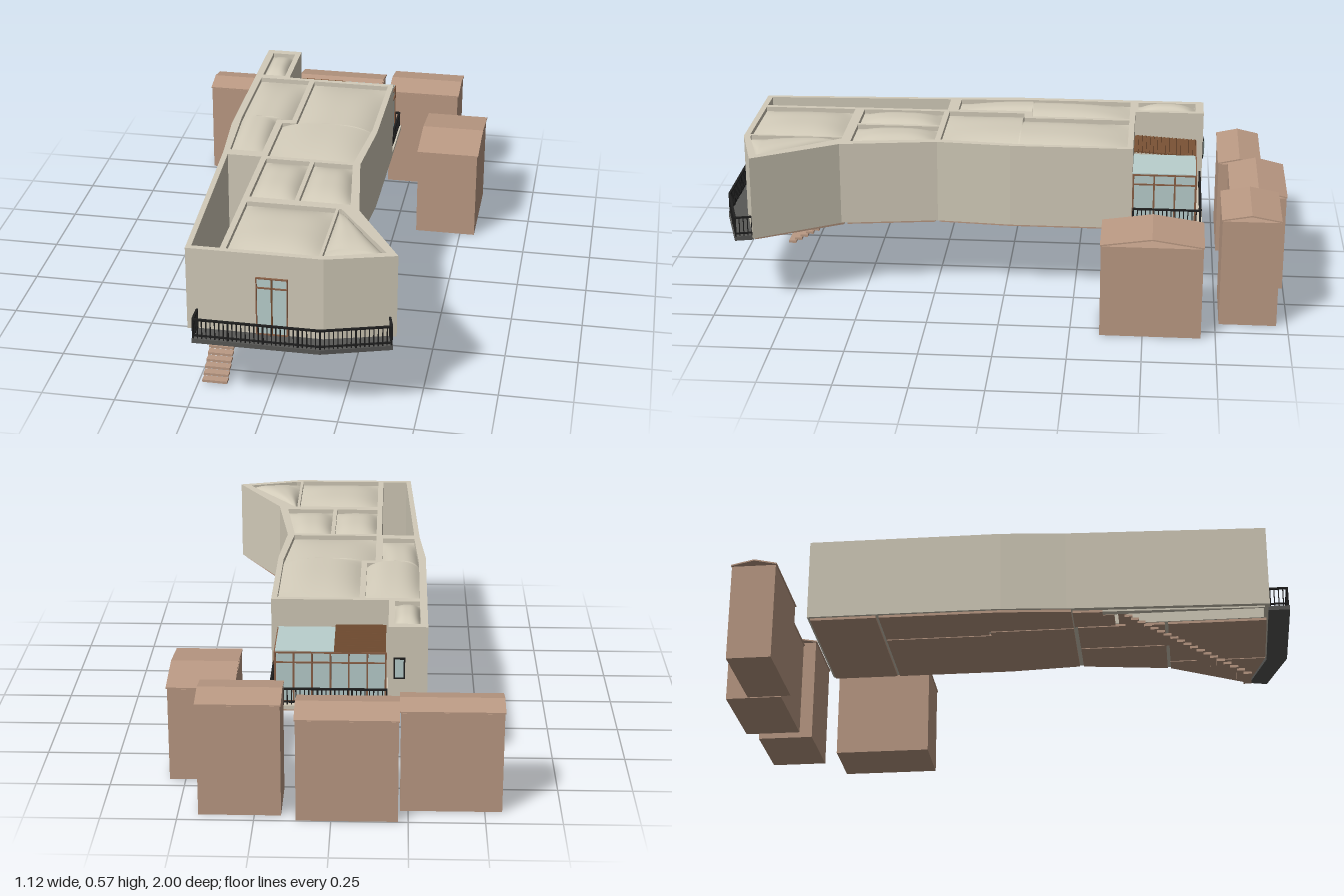
import * as THREE from 'three';
import { mergeGeometries } from 'three/addons/utils/BufferGeometryUtils.js';

const mat = (name, color, side = THREE.FrontSide) => {
  const m = new THREE.MeshStandardMaterial({ color, side });
  m.name = name;
  return m;
};

export function createModel() {
  const model = new THREE.Group();
  model.name = 'raisedHouse';
  const cream = mat('cream plaster', 0xd2cbb9);
  const clay = mat('clay brown', 0xbb9a84, THREE.DoubleSide);
  const glass = mat('pale glass', 0xb9cfcd);
  const wood = mat('dark wood', 0x775033);
  const frameMat = mat('window frame', 0x8a6046);
  const grey = mat('dark grey', 0x585856);
  const black = mat('black metal', 0x1e1e1e);

  const add = (name, geo, material, parent = model) => {
    const m = new THREE.Mesh(geo, material);
    m.name = name;
    parent.add(m);
    return m;
  };
  // box from its extents
  const box = (x0, x1, y0, y1, z0, z1) =>
    new THREE.BoxGeometry(x1 - x0, y1 - y0, z1 - z0)
      .translate((x0 + x1) / 2, (y0 + y1) / 2, (z0 + z1) / 2);
  // horizontal plate from an (x, z) outline
  const plate = (pts, y0, y1, holes = []) => {
    const v = (list) => list.map(([x, z]) => new THREE.Vector2(x, z));
    const shape = new THREE.Shape(v(pts));
    for (const h of holes) shape.holes.push(new THREE.Path(v(h)));
    return new THREE.ExtrudeGeometry(shape, { depth: y1 - y0, bevelEnabled: false })
      .rotateX(Math.PI / 2).translate(0, y1, 0);
  };

  // roof cushions, each as rows of [z, left x, right x]
  const cushions = [
    [[-0.67, -0.285, -0.2], [-0.46, -0.285, -0.2]],
    [[-0.43, -0.285, -0.1], [-0.075, -0.285, -0.1], [-0.07, -0.285, -0.155], [0.2, -0.27, -0.155]],
    [[-0.43, -0.08, 0.2], [-0.05, -0.08, 0.2], [-0.045, -0.13, 0.2], [0.23, -0.13, 0.175]],
    [[0.25, -0.13, 0.025], [0.545, -0.13, 0.025]],
    [[0.25, 0.04, 0.175], [0.545, 0.04, 0.215]],
    [[0.58, -0.13, 0.172], [0.91, -0.13, 0.172]],
    [[0.58, 0.182, 0.19], [0.85, 0.182, 0.38], [0.905, 0.182, 0.2]],
  ];
  const rowsToOutline = (rows) => [
    ...rows.map(([z, l]) => [l, z]),
    ...rows.slice().reverse().map(([z, , r]) => [r, z]),
  ];
  const cushionGeometry = (rows) => {
    const U = 18, V = 14, pos = [], idx = [];
    const z0 = rows[0][0], z1 = rows[rows.length - 1][0];
    const lines = [];
    rows.forEach((r, i) => {
      if (i === 0) return lines.push(r);
      for (let k = 1; k <= V; k++)
        lines.push(r.map((c, n) => THREE.MathUtils.lerp(rows[i - 1][n], c, k / V)));
    });
    const swell = (t) => 1 - Math.abs(2 * t - 1) ** 3;
    lines.forEach(([z, l, r], j) => {
      for (let i = 0; i <= U; i++) {
        const u = i / U;
        pos.push(l + (r - l) * u, 0.543 + 0.026 * swell(u) * swell((z - z0) / (z1 - z0)), z);
        if (i < U && j < lines.length - 1) {
          const a = j * (U + 1) + i, b = a + U + 1;
          idx.push(a, b, a + 1, a + 1, b, b + 1);
        }
      }
    });
    const g = new THREE.BufferGeometry();
    g.setAttribute('position', new THREE.Float32BufferAttribute(pos, 3));
    g.setIndex(idx);
    g.computeVertexNormals();
    return g;
  };

  // main body: walls and roof ribs, open at the cushions and the stairwell
  const right = [[0.22, -0.02], [0.2, 0.24], [0.25, 0.58], [0.42, 0.865]];
  const left = [[-0.26, 0.93], [-0.29, 0.22], [-0.31, -0.01]];
  const outline = [[-0.31, -0.7], [-0.18, -0.7], [-0.18, -0.45], [0.22, -0.45],
    ...right, [0.19, 0.93], ...left];
  const well = [[-0.27, 0.24], [-0.15, 0.24], [-0.15, 0.91], [-0.243, 0.91]];
  add('walls', plate(outline, 0.262, 0.56, [...cushions.map(rowsToOutline), well]), cream);
  cushions.forEach((rows, i) => add(`roofCushion${i + 1}`, cushionGeometry(rows), cream));

  // underside panels, separated by narrow seams
  const floors = [
    [[-0.3, -0.69], [0.21, -0.69], [0.21, -0.455], [-0.3, -0.455]],
    [[-0.3, -0.445], [-0.115, -0.445], [-0.115, -0.07], [-0.145, -0.07], [-0.145, 0.235], [-0.28, 0.235], [-0.3, -0.01]],
    [[-0.109, -0.445], [0.21, -0.445], [0.21, -0.02], [0.19, 0.235], [-0.139, 0.235], [-0.139, -0.064], [-0.109, -0.064]],
    [[-0.145, 0.25], [0.03, 0.25], [0.03, 0.56], [-0.145, 0.56]],
    [[0.036, 0.25], [0.192, 0.25], [0.237, 0.56], [0.036, 0.56]],
    [[-0.145, 0.572], [0.175, 0.572], [0.175, 0.92], [-0.145, 0.92]],
    [[0.181, 0.572], [0.24, 0.572], [0.405, 0.86], [0.181, 0.92]],
  ];
  floors.forEach((f, i) => add(`floorPanel${i + 1}`, plate(f, 0.253, 0.264), clay));

  // stairwell: landing, ledge and open treads
  add('landing', plate([[-0.268, 0.24], [-0.15, 0.24], [-0.15, 0.385], [-0.238, 0.385],
    [-0.238, 0.345], [-0.264, 0.345]], 0.254, 0.266), clay);
  add('stairwellLedge', plate([[-0.264, 0.345], [-0.238, 0.345], [-0.238, 0.912], [-0.244, 0.912]],
    0.256, 0.266), cream);
  const steps = 20;
  const treads = [];
  for (let i = 0; i < steps; i++) {
    const z = 0.84 - i * 0.0225, y = 0.008 + i * 0.0132;
    treads.push(box(-0.235, -0.15, y, y + 0.009, z - 0.014, z + 0.014));
  }
  add('stairTreads', mergeGeometries(treads), clay);

  // railing along a path of (x, z) points
  const railing = (name, path, y0, y1) => {
    const parts = [];
    for (let i = 1; i < path.length; i++) {
      const [ax, az] = path[i - 1], [bx, bz] = path[i];
      const len = Math.hypot(bx - ax, bz - az), yaw = -Math.atan2(bz - az, bx - ax);
      const place = (g, t, y) =>
        parts.push(g.rotateY(yaw).translate(ax + (bx - ax) * t, y, az + (bz - az) * t));
      place(new THREE.BoxGeometry(len, 0.006, 0.008), 0.5, y1 - 0.003);
      place(new THREE.BoxGeometry(len, 0.005, 0.006), 0.5, y0 + 0.012);
      const n = Math.max(2, Math.round(len / 0.0145));
      for (let k = 0; k <= n; k++) {
        const w = k % 8 === 0 ? 0.006 : 0.0035;
        place(new THREE.BoxGeometry(w, y1 - y0, w), k / n, (y0 + y1) / 2);
      }
    }
    add(name, mergeGeometries(parts), black);
  };

  // front balcony
  add('balconySlab', plate([[-0.23, 0.925], [0.19, 0.925], [0.4, 0.865], [0.417, 0.93], [0.19, 1],
    [-0.23, 1]], 0.25, 0.266), grey);
  railing('balconyRailing', [[-0.226, 0.932], [-0.226, 0.994], [0.19, 0.994], [0.412, 0.927],
    [0.398, 0.872]], 0.264, 0.338);

  // front door: glass sheet with thin frame bars
  add('frontDoorGlass', box(-0.028, 0.073, 0.268, 0.474, 0.93, 0.933), glass);
  const bar = (x0, x1, y0, y1) => box(x0, x1, y0, y1, 0.93, 0.937);
  add('frontDoorFrame', mergeGeometries([
    bar(-0.03, -0.026, 0.266, 0.476), bar(0.071, 0.075, 0.266, 0.476),
    bar(-0.026, 0.071, 0.472, 0.476), bar(-0.026, 0.071, 0.437, 0.442),
    bar(-0.026, 0.071, 0.266, 0.27)]), frameMat);
  add('frontDoorCentre', box(0.02, 0.025, 0.268, 0.474, 0.93, 0.938), wood);

  // small back window
  add('backWindowFrame', box(-0.236, -0.198, 0.378, 0.452, -0.704, -0.7), black);
  add('backWindowGlass', box(-0.231, -0.203, 0.384, 0.446, -0.707, -0.704), glass);

  // back terrace with glazed room
  add('terraceSlab', box(-0.18, 0.22, 0.262, 0.276, -0.7, -0.45), cream);
  railing('terraceRailing', [[-0.176, -0.692], [0.212, -0.692], [0.212, -0.455]], 0.274, 0.336);
  const X0 = -0.172, X1 = 0.195, Z0 = -0.672, Z1 = -0.45;
  add('roomGlassBack', box(X0, X1, 0.276, 0.455, Z0, Z0 + 0.004), glass);
  add('roomGlassSide', box(X1 - 0.004, X1, 0.276, 0.455, Z0 + 0.004, Z1), glass);
  add('roomGlassRoof', box(0, X1, 0.455, 0.461, Z0, Z1), glass);
  const bars = [];
  for (let i = 0; i <= 6; i++) {
    const x = X0 + ((X1 - X0) * i) / 6;
    bars.push(box(x - 0.003, x + 0.003, 0.276, 0.457, Z0 - 0.004, Z0 + 0.002));
  }
  for (let i = 0; i <= 3; i++) {
    const z = Z0 + ((Z1 - 0.003 - Z0) * i) / 3;
    bars.push(box(X1 - 0.002, X1 + 0.004, 0.276, 0.457, z - 0.003, z + 0.003));
  }
  for (const y of [0.278, 0.418, 0.453]) {
    bars.push(box(X0, X1, y, y + 0.005, Z0 - 0.004, Z0));
    bars.push(box(X1, X1 + 0.004, y, y + 0.005, Z0, Z1));
  }
  add('roomFrame', mergeGeometries(bars), frameMat);

  // sloped louvre roof beside the glass roof
  const slats = [];
  for (let i = 0; i < 16; i++) {
    const t = i / 15, z = Z0 + 0.007 + (Z1 - Z0 - 0.014) * t;
    slats.push(new THREE.BoxGeometry(0.172, 0.004, 0.018).rotateX(0.25)
      .translate(-0.086, 0.458 + 0.012 * t, z));
  }
  add('louvreRoof', mergeGeometries(slats), wood);

  // neighbouring houses with thin gabled roofs: [x0, x1, z0, z1, wall top, ridge]
  const houses = [
    [-0.56, -0.22, -0.92, -0.76, 0.348, 0.372],
    [-0.22, 0.118, -1, -0.796, 0.35, 0.38],
    [0.16, 0.437, -0.965, -0.76, 0.385, 0.41],
    [0.328, 0.558, -0.703, -0.35, 0.33, 0.362],
  ];
  houses.forEach(([x0, x1, z0, z1, top, ridge], i) => {
    const house = new THREE.Group();
    house.name = `neighbourHouse${i + 1}`;
    model.add(house);
    add('houseWalls', box(x0 + 0.003, x1 - 0.004, 0, top, z0 + 0.003, z1 - 0.003), clay, house);
    const zm = (z0 + z1) / 2, e = top + 0.004, t = 0.005;
    const gable = new THREE.Shape([[-z1, e - t / 2], [-zm, ridge - t], [-z0, e - t / 2],
      [-z0, e + t / 2], [-zm, ridge], [-z1, e + t / 2]].map(([a, b]) => new THREE.Vector2(a, b)));
    add('houseRoof', new THREE.ExtrudeGeometry(gable, { depth: x1 - x0, bevelEnabled: false })
      .rotateY(Math.PI / 2).translate(x0, 0, 0), clay, house);
  });

  return model;
}
